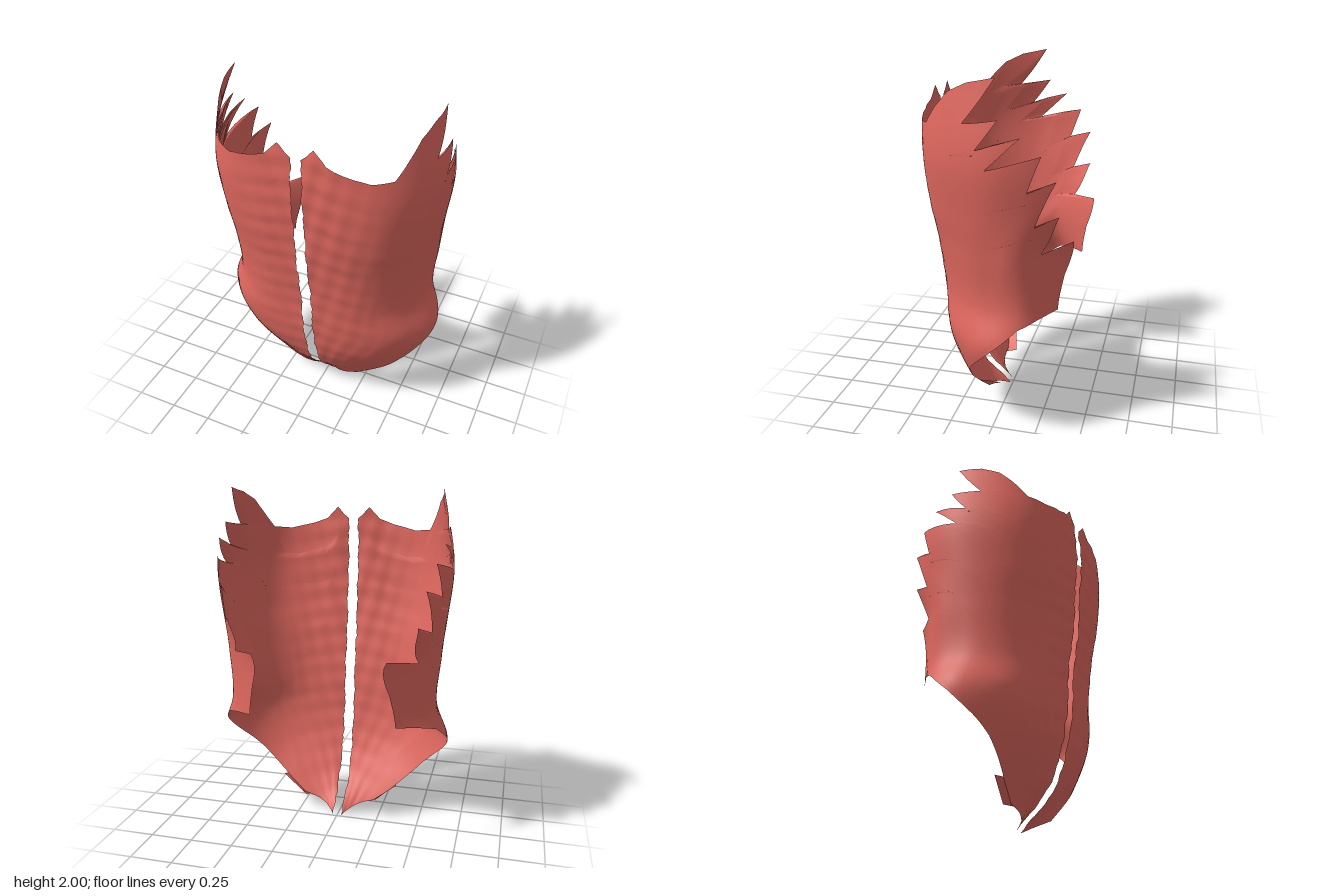
import * as THREE from 'three';

// Horizontal cross-sections of one half, midline to back: y, then 7 pairs of x, z
const SECTIONS = [
  [0.0, [.025, .01, .08, .05, .15, .06, .20, .01, .25, -.03, .27, -.08, .28, -.10]],
  [0.2, [.03, .20, .15, .18, .30, .13, .42, .08, .50, .00, .50, -.10, .45, -.20]],
  [0.4, [.03, .29, .20, .275, .37, .225, .52, .13, .59, .03, .59, -.10, .50, -.25]],
  [0.6, [.03, .33, .25, .315, .44, .255, .57, .15, .665, -.01, .63, -.18, .42, -.35]],
  [0.8, [.03, .345, .25, .335, .41, .265, .53, .15, .595, .00, .58, -.19, .39, -.37]],
  [1.1, [.03, .385, .25, .37, .42, .30, .545, .17, .61, .00, .59, -.19, .34, -.43]],
  [1.3, [.03, .405, .25, .40, .44, .335, .565, .195, .635, .00, .61, -.20, .50, -.39]],
  [1.6, [.03, .425, .25, .42, .44, .37, .58, .23, .66, .00, .635, -.20, .52, -.42]],
  [2.0, [.03, .41, .25, .42, .42, .34, .53, .20, .59, .00, .57, -.20, .48, -.42]],
];

// Outline of the sheet as (s, y), s being the position along a cross-section
const MIDLINE = [[0, .005], [0, 1.8]];
const BOTTOM = [[0, .005], [1, .05], [2, .10], [2.4, .22], [3, .37], [3.7, .49],
  [4.1, .58], [4.9, .71], [5.4, .74], [5.9, .76]];
const TOP = [[0, 1.8], [.3, 1.87], [.6, 1.8], [1, 1.77], [1.7, 1.74], [2.3, 1.75],
  [2.7, 1.84], [3.1, 1.92], [3.6, 1.97], [4.3, 2.0]];
// Back edge with its rib teeth, bottom to top: notch, tip, notch, tip ...
const TEETH = [[5.95, .76], [5.9, .95], [6, 1.14], [5.4, 1.11], [5.9, 1.32], [5.15, 1.2],
  [5.75, 1.51], [5.0, 1.39], [5.4, 1.64], [4.1, 1.57], [4.95, 1.73], [3.75, 1.63],
  [4.4, 1.81], [3.55, 1.78], [4.3, 2.0]];

const byHeight = new THREE.CubicInterpolant(
  SECTIONS.map((r) => r[0]), SECTIONS.flatMap((r) => r[1]), 14);

// Point on the curved body at (s, y), pushed inward by depth
function bodyPoint(s, y, depth) {
  const row = Array.from(byHeight.evaluate(y));
  const curve = new THREE.CubicInterpolant([0, 1, 2, 3, 4, 5, 6], row, 2);
  const at = (t) => Array.from(curve.evaluate(THREE.MathUtils.clamp(t, 0, 5.999)));
  const [x, z] = at(s), [x0, z0] = at(s - .05), [x1, z1] = at(s + .05);
  const length = Math.hypot(x1 - x0, z1 - z0);
  return [x + depth * (z1 - z0) / length, z - depth * (x1 - x0) / length];
}

// Point on a polyline at fraction t, one equal step per segment
function along(line, t) {
  const f = t * (line.length - 1);
  const i = Math.min(Math.floor(f), line.length - 2);
  return [0, 1].map((k) => line[i][k] + (line[i + 1][k] - line[i][k]) * (f - i));
}

// Blend the four outline edges into (s, y) at (u, v)
function patch(u, v) {
  const l = along(MIDLINE, v), r = along(TEETH, v);
  const b = along(BOTTOM, u), t = along(TOP, u);
  return [0, 1].map((k) => (1 - u) * l[k] + u * r[k] + (1 - v) * b[k] + v * t[k]
    - (1 - u) * (1 - v) * BOTTOM[0][k] - u * (1 - v) * TEETH[0][k]
    - (1 - u) * v * TOP[0][k] - u * v * TOP[9][k]);
}

// Grid surface from fn(u, v) -> [x, y, z]; side = 1 or -1 mirrors it
function sheet(fn, nu, nv, side) {
  const pos = [], index = [];
  for (let j = 0; j <= nv; j++) {
    for (let i = 0; i <= nu; i++) {
      const [x, y, z] = fn(i / nu, j / nv);
      pos.push(side * x, y, z);
      if (i < nu && j < nv) {
        const a = j * (nu + 1) + i, b = a + 1, c = a + nu + 1, d = c + 1;
        index.push(...(side > 0 ? [a, b, d, a, d, c] : [a, d, b, a, c, d]));
      }
    }
  }
  const g = new THREE.BufferGeometry();
  g.setAttribute('position', new THREE.Float32BufferAttribute(pos, 3));
  g.setIndex(index);
  g.computeVertexNormals();
  return g;
}

// Muscle surface with wrinkles fading out away from the midline
function musclePoint(u, v, thickness) {
  const [s, y] = patch(u, v);
  const taper = Math.min(1, 8 * Math.min(u, 1 - u, v, 1 - v));
  // The wall is thickest at the flank
  const flank = Math.exp(-((s - 4.5) ** 2) - ((y - .85) / .2) ** 2);
  const [x, z] = bodyPoint(s, y, thickness * taper * (1 + 2.5 * flank));
  const rough = Math.max(0, 1 - s / 2.2);
  const wrinkle = Math.sin(s * 7 + y * 19) * Math.sin(y * 33 - s * 5) * .006;
  const ragged = Math.sin(y * 71) * Math.sin(y * 37) * .006 * Math.max(0, 1 - s * 3);
  return [x + ragged, y, z - rough * (.004 + wrinkle)];
}

// Small lip folding inward from the lower edge
function lipPoint(u, v) {
  const [s, y] = along(BOTTOM, .2 + u * .12);
  const [x, z] = bodyPoint(s, y, 0);
  const inner = [.2 + .16 * u, .11 + .11 * u, .03 + .04 * u];
  return [x, y, z].map((c, k) => c + (inner[k] - c) * v);
}

export function createModel() {
  const group = new THREE.Group();
  group.name = 'abdominalMuscles';
  const material = new THREE.MeshStandardMaterial({ color: 0xe0685f, side: THREE.DoubleSide });
  const rows = (TEETH.length - 1) * 6;
  for (const side of [1, -1]) {
    const half = new THREE.Group();
    half.name = side > 0 ? 'leftMuscle' : 'rightMuscle';
    const parts = {
      outerSurface: sheet((u, v) => musclePoint(u, v, 0), 54, rows, side),
      innerSurface: sheet((u, v) => musclePoint(u, v, .015), 54, rows, side),
      lowerLip: sheet(lipPoint, 6, 3, side),
    };
    for (const [name, geometry] of Object.entries(parts)) {
      const mesh = new THREE.Mesh(geometry, material);
      mesh.name = name;
      half.add(mesh);
    }
    group.add(half);
  }
  return group;
}
